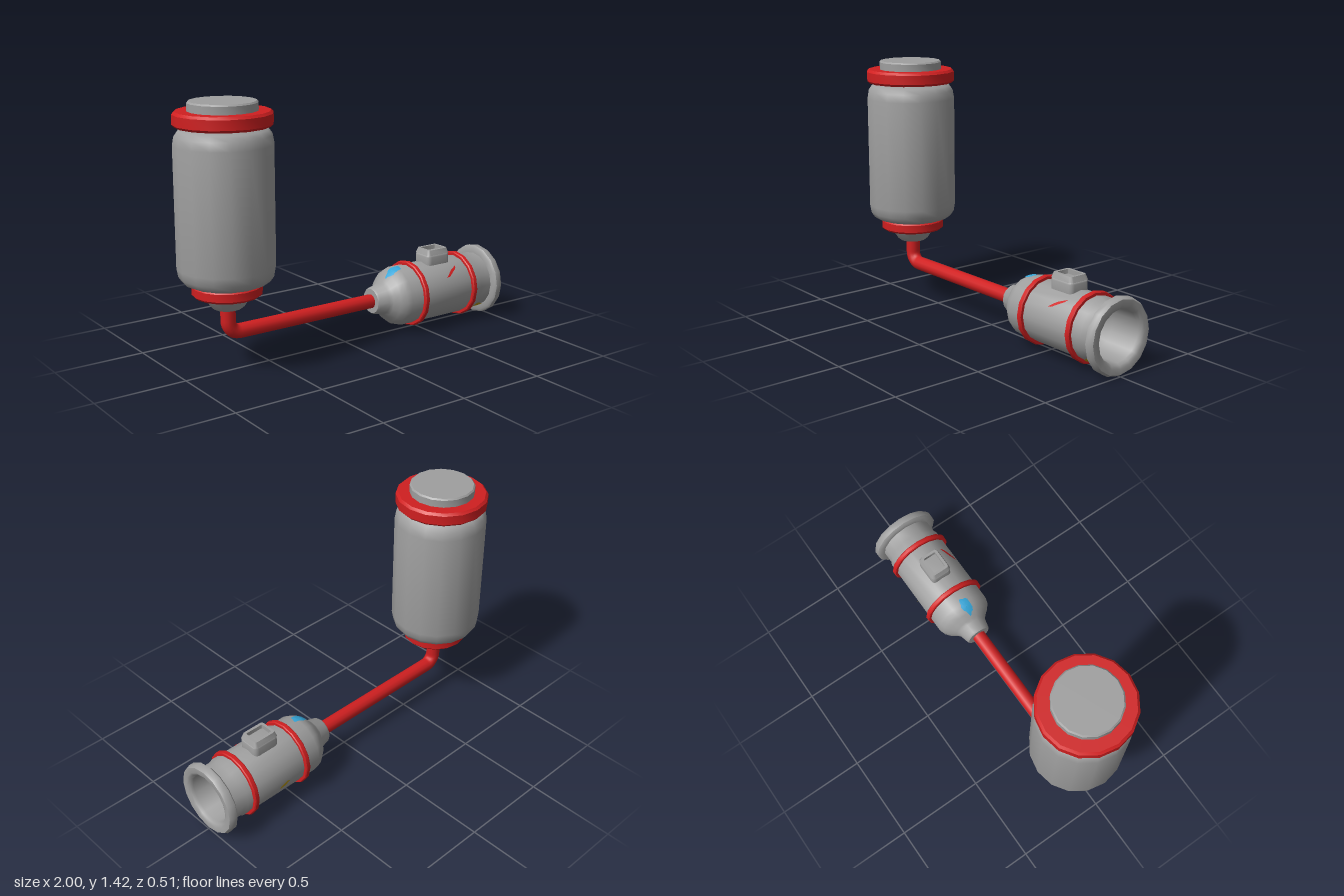
import * as THREE from 'three';
import { toCreasedNormals } from 'three/addons/utils/BufferGeometryUtils.js';

const SIDES = 16, TANK_X = -0.745, AXIS_Y = 0.21;

const material = (name, color) => {
  const m = new THREE.MeshStandardMaterial({ color });
  m.name = name;
  return m;
};

// Turned part from [radius, height] pairs, running from bottom to top
const turned = (profile) => toCreasedNormals(
  new THREE.LatheGeometry(profile.map(([r, h]) => new THREE.Vector2(r, h)), SIDES), 0.75);

// Bevelled disc between two heights
const disc = (r, h0, h1, b) => turned([[0, h0], [r - b, h0], [r, h0 + b], [r, h1 - b], [r - b, h1], [0, h1]]);

const roundedRect = (target, w, h, r) => {
  const x = w / 2, y = h / 2;
  target.moveTo(-x + r, -y).lineTo(x - r, -y).quadraticCurveTo(x, -y, x, -y + r)
    .lineTo(x, y - r).quadraticCurveTo(x, y, x - r, y).lineTo(-x + r, y)
    .quadraticCurveTo(-x, y, -x, y - r).lineTo(-x, -y + r).quadraticCurveTo(-x, -y, -x + r, -y);
  return target;
};

// Outer outline of the chamber: [radius, x]
const shell = [[0.07, 0.18], [0.077, 0.19], [0.09, 0.245], [0.105, 0.262], [0.138, 0.29], [0.16, 0.32],
  [0.17, 0.35], [0.17, 0.855], [0.162, 0.875], [0.162, 0.945]];

const shellRadius = (x) => {
  for (let i = 1; i < shell.length; i++) {
    const [r0, x0] = shell[i - 1], [r1, x1] = shell[i];
    if (x <= x1) return r0 + (r1 - r0) * (x - x0) / (x1 - x0);
  }
  return shell[shell.length - 1][0];
};

// Paint mark wrapped on the chamber; angle runs from the top towards the front
function paintMark(x, angle, halfLength, halfWidth, slant) {
  const geo = new THREE.RingGeometry(0, 1, 18, 5);
  const p = geo.attributes.position;
  for (let i = 0; i < p.count; i++) {
    const wobble = 1 + 0.12 * Math.sin(5 * Math.atan2(p.getY(i), p.getX(i)));
    const u = p.getX(i) * halfLength * wobble, v = p.getY(i) * halfWidth * wobble;
    const px = x + u * Math.cos(slant) - v * Math.sin(slant);
    const a = angle - (u * Math.sin(slant) + v * Math.cos(slant)) / 0.17;
    const r = shellRadius(px) + 0.002;
    p.setXYZ(i, px, AXIS_Y + r * Math.cos(a), r * Math.sin(a));
  }
  geo.computeVertexNormals();
  return geo;
}

export function createModel() {
  const model = new THREE.Group();
  model.name = 'tankAndChamber';
  const grey = material('metalGrey', 0x9f9f9f);
  const red = material('red', 0xd01f20);
  const blue = material('blue', 0x35a5d8);
  const yellow = material('yellow', 0xb8981c);

  const add = (parent, name, geo, mat) => {
    const mesh = new THREE.Mesh(geo, mat);
    mesh.name = name;
    parent.add(mesh);
    return mesh;
  };

  // Upright tank
  const tank = new THREE.Group();
  tank.name = 'tank';
  tank.position.x = TANK_X;
  model.add(tank);
  add(tank, 'tankBody', turned([[0, 0.485], [0.2, 0.487], [0.228, 0.5], [0.248, 0.53], [0.256, 0.575],
    [0.256, 1.205], [0.248, 1.25], [0.228, 1.278], [0.19, 1.288], [0.18, 1.31], [0, 1.31]]), grey);
  add(tank, 'topRing', disc(0.255, 1.295, 1.373, 0.013), red);
  add(tank, 'topCap', disc(0.18, 1.36, 1.422, 0.008), grey);
  add(tank, 'bottomRing', disc(0.184, 0.42, 0.485, 0.012), red);
  add(tank, 'outletCone', turned([[0, 0.35], [0.075, 0.35], [0.09, 0.362], [0.13, 0.425], [0, 0.425]]), grey);

  // Pipe from tank to chamber
  const v = (x, y) => new THREE.Vector3(x, y, 0);
  const bend = 0.065, k = bend * 0.448;
  const path = new THREE.CurvePath();
  path.add(new THREE.LineCurve3(v(TANK_X, 0.37), v(TANK_X, AXIS_Y + bend)));
  path.add(new THREE.CubicBezierCurve3(v(TANK_X, AXIS_Y + bend), v(TANK_X, AXIS_Y + k),
    v(TANK_X + k, AXIS_Y), v(TANK_X + bend, AXIS_Y)));
  path.add(new THREE.LineCurve3(v(TANK_X + bend, AXIS_Y), v(0.2, AXIS_Y)));
  add(model, 'pipe', new THREE.TubeGeometry(path, 72, 0.04, 12), red);

  // Chamber lying along x, with a flange and hollow mouth
  const chamber = new THREE.Group();
  chamber.name = 'chamber';
  chamber.position.y = AXIS_Y;
  chamber.rotation.z = -Math.PI / 2;
  model.add(chamber);
  add(chamber, 'chamberBody', turned([[0, 0.18], ...shell, [0.192, 0.946], [0.205, 0.956], [0.205, 0.985],
    [0.195, 1], [0.165, 1], [0.148, 0.992], [0.14, 0.975], [0.138, 0.8], [0.12, 0.75], [0.08, 0.72], [0, 0.71]]), grey);
  for (const x of [0.445, 0.805]) add(chamber, 'chamberBand', disc(0.19, x - 0.015, x + 0.015, 0.005), red);
  // Hollow the outer band so the mouth stays open
  chamber.children[2].geometry = turned([[0.15, 0.79], [0.185, 0.79], [0.19, 0.795],
    [0.19, 0.815], [0.185, 0.82], [0.15, 0.82]]);

  // Raised port with a recess on top of the chamber
  const port = new THREE.Group();
  port.name = 'port';
  port.position.x = 0.625;
  model.add(port);
  const outline = roundedRect(new THREE.Shape(), 0.13, 0.1, 0.012);
  outline.holes.push(roundedRect(new THREE.Path(), 0.125, 0.098, 0.006));
  const bevel = { bevelEnabled: true, bevelSize: 0.015, bevelThickness: 0.015, bevelSegments: 3, curveSegments: 4 };
  const rimShape = roundedRect(new THREE.Shape(), 0.13, 0.1, 0.012);
  rimShape.holes.push(roundedRect(new THREE.Path(), 0.116, 0.084, 0.006));
  const rim = new THREE.ExtrudeGeometry(roundedRect(new THREE.Shape(), 0.13, 0.1, 0.012), { ...bevel, depth: 0.07 });
  rim.rotateX(-Math.PI / 2).translate(0, 0.345, 0);
  add(port, 'portBase', toCreasedNormals(rim, 0.6), grey);
  const wall = roundedRect(new THREE.Shape(), 0.158, 0.128, 0.02);
  wall.holes.push(roundedRect(new THREE.Path(), 0.108, 0.078, 0.008));
  const lip = new THREE.ExtrudeGeometry(wall, { depth: 0.03, bevelEnabled: false, curveSegments: 4 });
  // Draw the top of the lip inwards for a rounded edge
  const p = lip.attributes.position;
  for (let i = 0; i < p.count; i++) {
    const outer = Math.abs(p.getX(i)) > 0.056 || Math.abs(p.getY(i)) > 0.041;
    if (outer && p.getZ(i) > 0.02) p.setXY(i, p.getX(i) * 0.87, p.getY(i) * 0.85);
  }
  lip.rotateX(-Math.PI / 2).translate(0, 0.425, 0);
  add(port, 'portLip', toCreasedNormals(lip, 0.6), grey);

  // Paint marks
  add(model, 'blueMark', paintMark(0.325, 0.1, 0.05, 0.032, 0.15), blue);
  add(model, 'redStreak', paintMark(0.672, 0.81, 0.056, 0.008, 0.6), red);
  add(model, 'yellowMark', paintMark(0.893, 2.55, 0.04, 0.036, 0), yellow);
  add(model, 'yellowStreak', paintMark(0.6, -1.75, 0.035, 0.01, 0.4), yellow);
  return model;
}
